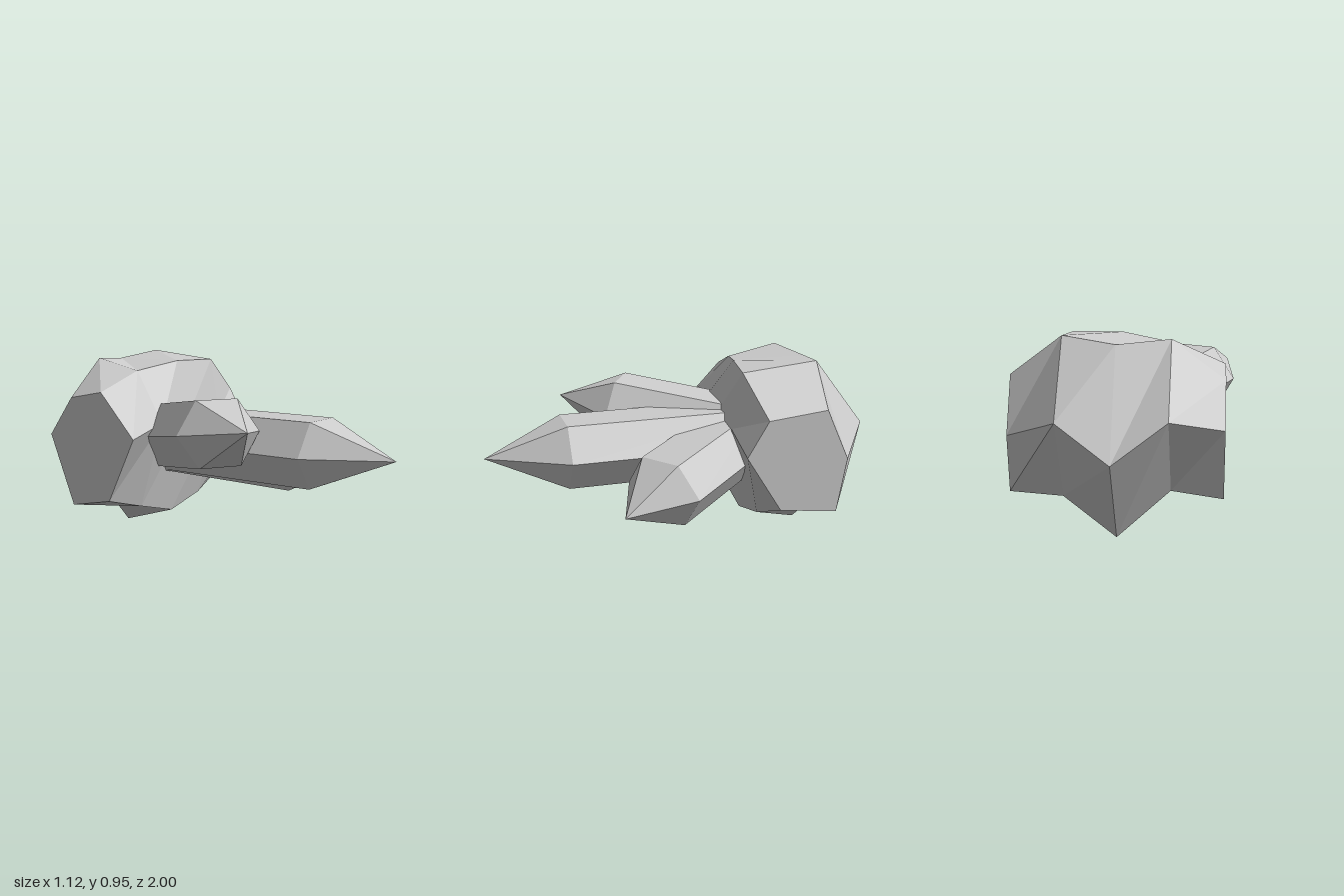
import * as THREE from 'three';

const stone = new THREE.MeshStandardMaterial({ color: 0xcccccc });
stone.name = 'paleStone';

// Split faces so every facet gets its own normal
function facet(geometry) {
  const g = geometry.index ? geometry.toNonIndexed() : geometry;
  g.computeVertexNormals();
  return g;
}

// Rock: six-cornered sections [y, z] at even steps along x,
// ordered front top, back top, back, back bottom, front bottom, front
function rockGeometry() {
  const xs = [-0.51, -0.26, -0.01, 0.24, 0.49];
  const sections = [
    [[0.79, -0.415], [0.75, -0.625], [0.545, -0.78], [0.18, -0.625], [0.23, -0.37], [0.565, -0.2]],
    [[0.885, -0.385], [0.94, -0.655], [0.61, -0.92], [0.21, -0.61], [0.16, -0.37], [0.62, -0.22]],
    [[0.925, -0.32], [0.922, -0.725], [0.43, -1], [0, -0.69], [0.095, -0.37], [0.65, -0.235]],
    [[0.92, -0.28], [0.955, -0.68], [0.605, -0.95], [0.2, -0.7], [0.157, -0.375], [0.63, -0.225]],
    [[0.735, -0.33], [0.765, -0.64], [0.5, -0.76], [0.22, -0.71], [0.26, -0.405], [0.555, -0.22]],
  ];
  const positions = [];
  const index = [];
  sections.forEach((ring, i) => ring.forEach(([y, z]) => positions.push(xs[i], y, z)));
  const at = (i, j) => i * 6 + (j % 6);
  for (let i = 0; i < 4; i++) {
    for (let j = 0; j < 6; j++) {
      const a = at(i, j), b = at(i + 1, j), c = at(i + 1, j + 1), d = at(i, j + 1);
      index.push(a, b, c, a, c, d);
    }
  }
  // Flat end caps
  for (let j = 1; j < 5; j++) {
    index.push(at(0, 0), at(0, j), at(0, j + 1));
    index.push(at(4, 0), at(4, j + 1), at(4, j));
  }
  const g = new THREE.BufferGeometry();
  g.setAttribute('position', new THREE.Float32BufferAttribute(positions, 3));
  g.setIndex(index);
  return facet(g);
}

// Crystal: flattened six-sided prism with a point, running from base to tip
function crystal(name, base, tip, pointLength) {
  const from = new THREE.Vector3(...base);
  const to = new THREE.Vector3(...tip);
  const length = from.distanceTo(to);
  const radius = 0.22;
  const profile = [
    new THREE.Vector2(0, 0),
    new THREE.Vector2(radius, 0),
    new THREE.Vector2(radius, length - pointLength),
    new THREE.Vector2(0, length),
  ];
  const g = new THREE.LatheGeometry(profile, 6, Math.PI / 6);
  g.rotateX(Math.PI / 2);
  g.scale(1, 0.866, 1);
  const mesh = new THREE.Mesh(facet(g), stone);
  mesh.name = name;
  mesh.position.copy(from);
  mesh.lookAt(to);
  return mesh;
}

export function createModel() {
  const model = new THREE.Group();
  model.name = 'crystalRock';

  const rock = new THREE.Mesh(rockGeometry(), stone);
  rock.name = 'rock';
  model.add(rock);

  model.add(
    crystal('middleCrystal', [-0.01, 0.51, -0.45], [-0.01, 0.51, 1], 0.41),
    crystal('rightCrystal', [0.0, 0.515, -0.42], [-0.53, 0.665, 0.51], 0.33),
    crystal('leftCrystal', [-0.04, 0.51, -0.4], [0.555, 0.34, 0.415], 0.3),
  );
  return model;
}
